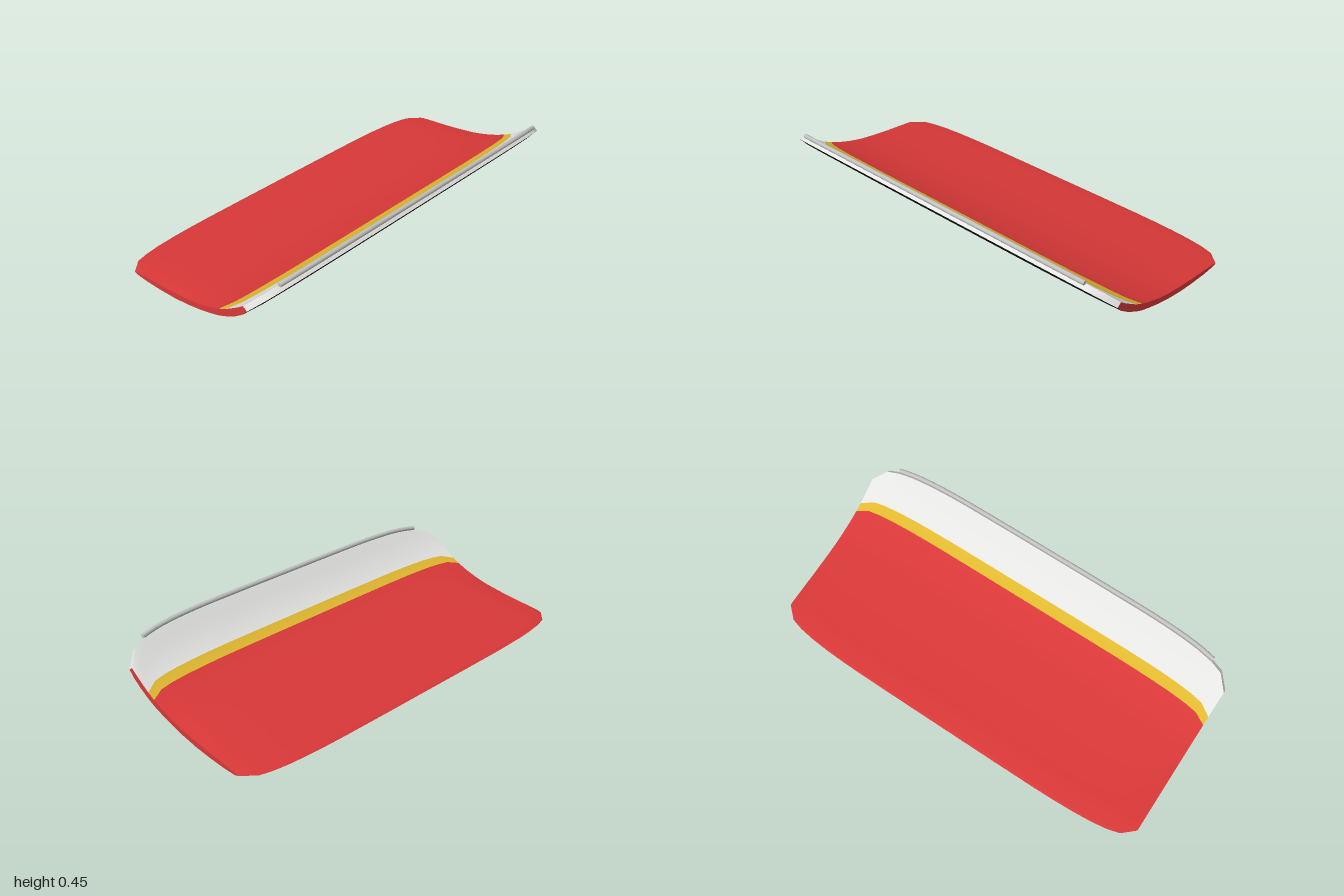
import * as THREE from 'three';
import { RoundedBoxGeometry } from 'three/addons/geometries/RoundedBoxGeometry.js';

// Chord positions (-1 rear to 1 front) with upper and lower heights, mid-span and at the tips
const U = [-1, -0.95, -0.75, -0.5, -0.25, 0, 0.2, 0.4, 0.53, 0.645, 0.8, 0.92, 1];
const MID_TOP = [0.142, 0.154, 0.161, 0.171, 0.184, 0.2, 0.217, 0.243, 0.265, 0.289, 0.337, 0.39, 0.425];
const MID_LOW = [0.142, 0.13, 0.127, 0.131, 0.141, 0.156, 0.176, 0.205, 0.229, 0.257, 0.306, 0.36, 0.405];
const TIP_TOP = [0.143, 0.148, 0.154, 0.16, 0.169, 0.181, 0.197, 0.219, 0.238, 0.257, 0.288, 0.313, 0.332];
const TIP_LOW = [0.143, 0.136, 0.132, 0.134, 0.14, 0.153, 0.168, 0.188, 0.203, 0.222, 0.253, 0.284, 0.315];

// Half-span stations: [x, fullness], where 0 is the tip section and 1 the middle one
const HALF = [[0, 1], [0.25, 1], [0.5, 0.99], [0.6, 0.97], [0.7, 0.93], [0.8, 0.85], [0.88, 0.73], [0.94, 0.56], [1, 0]];
const SPAN = [...HALF.slice(1).reverse().map(([x, t]) => [-x, t]), ...HALF];

function wingPoint(i, [x, t], upper) {
  const { lerp } = THREE.MathUtils;
  const lean = upper ? 0.021 * Math.max(0, (U[i] - 0.6) / 0.4) : 0;
  const y = upper ? lerp(TIP_TOP[i], MID_TOP[i], t) : lerp(TIP_LOW[i], MID_LOW[i], t);
  return new THREE.Vector3(x, y, U[i] * lerp(0.37, 0.468, t) - lean);
}

// Smooth skin through rows of points; bands are [end row, material index]
function skin(rows, bands = []) {
  const n = rows[0].length;
  const index = [];
  for (let r = 0; r < rows.length - 1; r++) {
    for (let c = 0; c < n - 1; c++) {
      const a = r * n + c, b = a + n;
      index.push(a, b, a + 1, b, b + 1, a + 1);
    }
  }
  const geo = new THREE.BufferGeometry().setFromPoints(rows.flat());
  geo.setIndex(index);
  geo.computeVertexNormals();
  let start = 0;
  for (const [end, material] of bands) {
    geo.addGroup(start * (n - 1) * 6, (end - start) * (n - 1) * 6, material);
    start = end;
  }
  return geo;
}

export function createModel() {
  const model = new THREE.Group();
  const paint = (name, color) => {
    const m = new THREE.MeshStandardMaterial({ color });
    m.name = name;
    return m;
  };
  const red = paint('red', 0xd93838);
  const yellow = paint('yellow', 0xe0b830);
  const white = paint('white', 0xe4e4e2);
  const black = paint('black', 0x1a1a1a);
  const charcoal = paint('charcoal', 0x333333);
  const silver = paint('silver', 0xc2c2c0);

  const add = (name, geo, material) => {
    const mesh = new THREE.Mesh(geo, material);
    mesh.name = name;
    model.add(mesh);
    return mesh;
  };

  // Wing skins: banded upper face, black underside
  const upper = U.map((_, i) => SPAN.map((s) => wingPoint(i, s, true)));
  const lower = U.map((_, i) => SPAN.map((s) => wingPoint(i, s, false)));
  add('wingUpperSurface', skin(upper, [[8, 0], [9, 1], [12, 2]]), [red, yellow, white]);
  add('wingUnderside', skin(lower.map((row) => [...row].reverse())), black);

  // Upturned front edge
  const last = U.length - 1;
  add('frontEdge', skin([upper[last], lower[last]]), white);

  // Tip faces
  const end = SPAN.length - 1;
  const column = (rows, c) => rows.map((row) => row[c]);
  add('leftTip', skin([column(upper, end).reverse(), column(lower, end).reverse()]), red);
  add('rightTip', skin([column(upper, 0), column(lower, 0)]), red);

  // Round lip along the front edge
  const lipPath = new THREE.CatmullRomCurve3(
    upper[last].slice(2, -2).map((p) => p.clone().add(new THREE.Vector3(0, 0.01, 0.012)))
  );
  add('lip', new THREE.TubeGeometry(lipPath, 48, 0.011, 10), silver);
  for (const side of [-1, 1]) {
    const cap = add('lipEnd', new THREE.CircleGeometry(0.011, 10), silver);
    cap.position.copy(lipPath.getPoint(side > 0 ? 1 : 0));
    cap.rotation.y = side * Math.PI / 2;
  }

  // Raked struts, drawn in side profile (z, y) and extruded across x
  const profile = new THREE.Shape([[0.08, 0.152], [0.22, 0.152], [0.265, 0.035], [0.132, 0.035]]
    .map(([z, y]) => new THREE.Vector2(z, y)));
  for (const side of [-1, 1]) {
    const geo = new THREE.ExtrudeGeometry(profile, { depth: 0.04, bevelEnabled: false });
    geo.translate(0, 0, -0.02).rotateY(Math.PI / 2);
    add('strut', geo, silver).position.x = side * 0.21;
  }

  // Mounting foot
  add('foot', new RoundedBoxGeometry(0.55, 0.048, 0.162, 3, 0.012), charcoal).position.set(0, 0.024, -0.21);

  return model;
}
